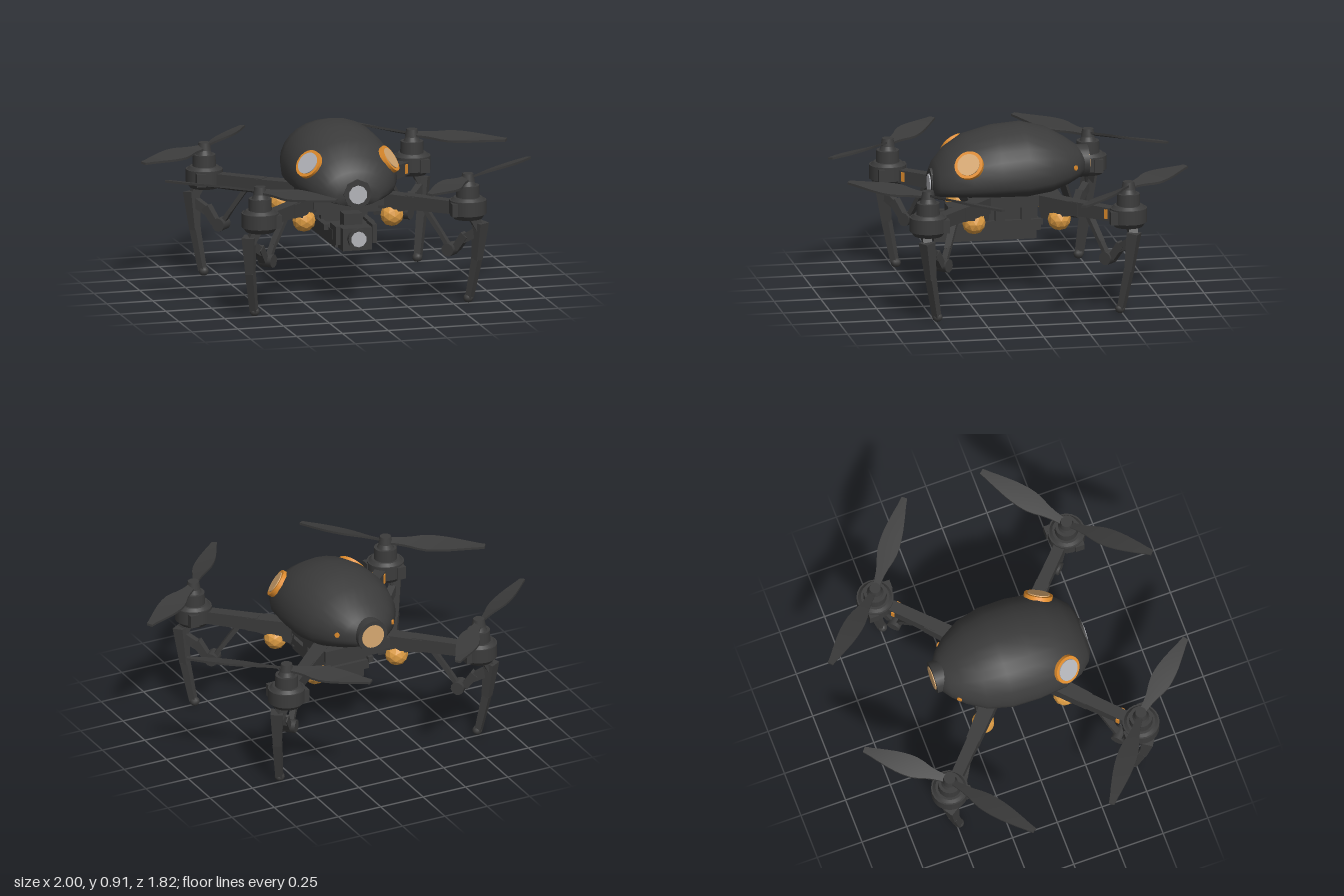
import * as THREE from 'three';

const mat = (name, color, extra = {}) => Object.assign(new THREE.MeshStandardMaterial({ color, ...extra }), { name });

// Body stations, front to back: z, half width, top y, middle y, bottom y
const STATIONS = [
  [0.415, 0.12, 0.66, 0.6, 0.54], [0.39, 0.17, 0.72, 0.61, 0.545], [0.33, 0.225, 0.79, 0.62, 0.545],
  [0.23, 0.268, 0.855, 0.635, 0.545], [0.08, 0.285, 0.895, 0.65, 0.54], [-0.07, 0.282, 0.907, 0.66, 0.535],
  [-0.2, 0.25, 0.875, 0.67, 0.55], [-0.3, 0.19, 0.818, 0.68, 0.58], [-0.36, 0.135, 0.775, 0.685, 0.605],
  [-0.4, 0.08, 0.74, 0.685, 0.63],
];

function bodyPoint(z, a) {
  let i = 0;
  while (i < STATIONS.length - 2 && z < STATIONS[i + 1][0]) i++;
  const A = STATIONS[i], B = STATIONS[i + 1], t = (z - A[0]) / (B[0] - A[0]);
  const [hw, top, mid, bot] = [1, 2, 3, 4].map((k) => A[k] + (B[k] - A[k]) * t);
  const c = Math.cos(a), s = Math.sin(a);
  if (s >= 0) return new THREE.Vector3(hw * c, mid + (top - mid) * s, z);
  return new THREE.Vector3(hw * Math.sign(c) * Math.abs(c) ** 0.75, mid - (mid - bot) * (-s) ** 0.75, z);
}

function bodyNormal(z, a) {
  const du = bodyPoint(z, a + 0.05).sub(bodyPoint(z, a - 0.05));
  const dz = bodyPoint(z + 0.04, a).sub(bodyPoint(z - 0.04, a));
  return du.cross(dz).normalize();
}

function bodyGeometry(n = 28) {
  const pos = [], idx = [], rows = STATIONS.length;
  for (const st of STATIONS) {
    for (let j = 0; j < n; j++) pos.push(...bodyPoint(st[0], (j / n) * Math.PI * 2).toArray());
  }
  for (let i = 0; i < rows - 1; i++) {
    for (let j = 0; j < n; j++) {
      const a = i * n + j, b = i * n + ((j + 1) % n);
      idx.push(a, a + n, b, b, a + n, b + n);
    }
  }
  // End caps
  for (const [row, front] of [[0, true], [rows - 1, false]]) {
    const c = pos.length / 3, st = STATIONS[row];
    pos.push(0, st[3], st[0]);
    for (let j = 0; j < n; j++) {
      const a = row * n + j, b = row * n + ((j + 1) % n);
      idx.push(c, ...(front ? [a, b] : [b, a]));
    }
  }
  const g = new THREE.BufferGeometry();
  g.setAttribute('position', new THREE.Float32BufferAttribute(pos, 3));
  g.setIndex(idx);
  g.computeVertexNormals();
  return g;
}

// Thin twisted blade along +x
function bladeGeometry(length, twist) {
  const g = new THREE.BoxGeometry(1, 1, 1, 12, 1, 2), p = g.attributes.position;
  const width = new THREE.SplineCurve([[0, 0.035], [0.2, 0.055], [0.4, 0.108], [0.55, 0.105], [0.8, 0.07], [1, 0.03]]
    .map((q) => new THREE.Vector2(...q)));
  for (let i = 0; i < p.count; i++) {
    const t = p.getX(i) + 0.5, w = width.getPoint(t).y, side = p.getZ(i) * w;
    const tilt = twist * (0.42 - 0.3 * t);
    const y = p.getY(i) * 0.012 + 0.012 * t;
    p.setXYZ(i, t * length, y + side * Math.sin(tilt), side * Math.cos(tilt));
  }
  g.computeVertexNormals();
  return g;
}

export function createModel() {
  const root = new THREE.Group();
  root.name = 'drone';
  const dark = mat('charcoal', 0x3b3b3b);
  const amber = mat('amber', 0xdb9a42, { flatShading: true });
  const orange = mat('orange', 0xe08c2c);
  const tan = mat('tan lens', 0xd6a871);
  const glass = mat('grey glass', 0xb2b3b8);

  const add = (name, geo, m, pos = [0, 0, 0], parent = root) => {
    const mesh = new THREE.Mesh(geo, m);
    mesh.name = name;
    mesh.position.set(...pos);
    parent.add(mesh);
    return mesh;
  };
  const box = (name, w, h, d, pos, parent, m = dark) => add(name, new THREE.BoxGeometry(w, h, d), m, pos, parent);
  const cyl = (name, r1, r2, h, pos, parent, m = dark, n = 20) =>
    add(name, new THREE.CylinderGeometry(r1, r2, h, n), m, pos, parent);
  // Bar from a to b, its far end scaled by taper
  const beam = (name, a, b, w, h, taper, parent, m = dark) => {
    const va = new THREE.Vector3(...a), vb = new THREE.Vector3(...b);
    const g = new THREE.BoxGeometry(w, h, va.distanceTo(vb)), p = g.attributes.position;
    for (let i = 0; i < p.count; i++) {
      if (p.getZ(i) > 0) p.setXY(i, p.getX(i) * taper, p.getY(i) * taper);
    }
    const mesh = add(name, g, m, va.clone().add(vb).multiplyScalar(0.5).toArray(), parent);
    mesh.lookAt(vb);
    return mesh;
  };
  // Disc facing along a direction
  const disc = (name, r, h, pos, dir, m, n = 24) => {
    const mesh = cyl(name, r, r, h, pos, root, m, n);
    mesh.quaternion.setFromUnitVectors(new THREE.Vector3(0, 1, 0), dir);
    return mesh;
  };

  // Egg shaped shell with nose and tail lenses
  add('bodyShell', bodyGeometry(), dark);
  const front = new THREE.Vector3(0, 0, 1), back = new THREE.Vector3(0, 0, -1);
  disc('noseRim', 0.078, 0.04, [0, 0.605, 0.4], front, dark, 8);
  disc('noseLens', 0.05, 0.008, [0, 0.602, 0.423], front, glass, 10);
  disc('tailRim', 0.086, 0.06, [0, 0.685, -0.393], back, dark);
  disc('tailLens', 0.064, 0.006, [0, 0.685, -0.425], back, tan);

  // Side eyes and small rear side lights
  for (const s of [1, -1]) {
    const at = (z, a, out) => {
      const n = bodyNormal(z, a), p = bodyPoint(z, a).addScaledVector(n, out);
      n.x *= s; p.x *= s;
      return [p.toArray(), n];
    };
    const [rp, n] = at(0.25, 0.56, -0.004);
    disc('eyeRim', 0.077, 0.026, rp, n, orange);
    disc('eyeLens', 0.06, 0.006, at(0.25, 0.56, 0.011)[0], n, s > 0 ? tan : glass);
    const [lp, ln] = at(-0.33, 0.05, 0);
    disc('rearSideLight', 0.014, 0.012, lp, ln, orange, 8);
  }

  // Chassis and battery under the shell
  box('chassisPlate', 0.38, 0.06, 0.5, [0, 0.525, 0]);
  box('chassisCore', 0.24, 0.13, 0.27, [0, 0.45, 0]);
  box('batteryTray', 0.23, 0.05, 0.49, [0, 0.375, 0.09]);
  box('batteryPack', 0.19, 0.05, 0.45, [0, 0.325, 0.09]);
  for (const s of [1, -1]) {
    box('sideRail', 0.03, 0.03, 0.42, [s * 0.125, 0.4, 0.05]);
    box('sideClip', 0.03, 0.08, 0.05, [s * 0.13, 0.455, 0.07]);
    box('sideClip', 0.03, 0.08, 0.05, [s * 0.13, 0.455, -0.07]);
    box('cameraBracket', 0.025, 0.1, 0.11, [s * 0.1, 0.38, 0.335]);
  }
  box('frontCrossbar', 0.42, 0.035, 0.05, [0, 0.475, 0.19]);
  box('rearCrossbar', 0.42, 0.035, 0.05, [0, 0.475, -0.19]);

  // Hanging camera
  box('cameraBody', 0.16, 0.12, 0.1, [0, 0.36, 0.36]);
  box('cameraMount', 0.1, 0.08, 0.08, [0, 0.44, 0.29]);
  disc('cameraBarrel', 0.056, 0.04, [0, 0.365, 0.415], front, dark, 12);
  disc('cameraLens', 0.042, 0.006, [0, 0.365, 0.437], front, glass, 10);

  // Four mirrored corners: arm, motor, propeller, leg and ball
  for (const sx of [1, -1]) for (const sz of [1, -1]) {
    const g = new THREE.Group();
    g.name = `${sz > 0 ? 'front' : 'rear'}${sx > 0 ? 'Left' : 'Right'}Corner`;
    root.add(g);
    const P = (x, y, z) => [x * sx, y, z * sz];

    beam('arm', P(0.31, 0.518, 0.285), P(0.55, 0.518, 0.515), 0.066, 0.075, 0.9, g);
    beam('armShoulder', P(0.17, 0.515, 0.16), P(0.35, 0.515, 0.325), 0.085, 0.085, 0.85, g);
    beam('armRoot', P(0.17, 0.455, 0.16), P(0.31, 0.495, 0.285), 0.06, 0.05, 0.9, g);
    add('ball', new THREE.IcosahedronGeometry(0.062, 1), amber, P(0.24, 0.438, 0.228), g);
    if (sx * sz < 0) beam('armLight', P(0.476, 0.52, 0.444), P(0.49, 0.52, 0.457), 0.073, 0.05, 1, g, orange);

    const M = (y) => P(0.567, y, 0.535);
    cyl('motorHousing', 0.098, 0.098, 0.075, M(0.53), g);
    cyl('motorBase', 0.094, 0.075, 0.025, M(0.48), g);
    cyl('motorRing', 0.075, 0.09, 0.015, M(0.575), g);
    cyl('motorBell', 0.06, 0.062, 0.065, M(0.612), g);
    cyl('motorShaft', 0.03, 0.045, 0.03, M(0.658), g);
    cyl('propellerHub', 0.03, 0.038, 0.04, M(0.688), g, dark, 12);
    box('motorLug', 0.05, 0.07, 0.05, P(0.49, 0.525, 0.575), g);
    box('motorLug', 0.05, 0.07, 0.05, P(0.61, 0.525, 0.455), g);
    for (const [tx, tz, turn] of [[0.99, 0.215, 1], [0.255, 0.9, 1]]) {
      const dx = (tx - 0.567) * sx, dz = (tz - 0.535) * sz;
      const blade = add('propellerBlade', bladeGeometry(Math.hypot(dx, dz), turn * sx * sz), dark, M(0.681), g);
      blade.rotation.y = -Math.atan2(dz, dx);
    }

    // Leg with foot
    beam('legMount', P(0.59, 0.48, 0.55), P(0.625, 0.41, 0.55), 0.05, 0.05, 0.9, g);
    beam('legUpper', P(0.632, 0.445, 0.553), P(0.618, 0.24, 0.53), 0.066, 0.06, 0.68, g);
    beam('legLower', P(0.618, 0.245, 0.53), P(0.588, 0.03, 0.493), 0.045, 0.041, 0.8, g);
    const foot = add('foot', new THREE.IcosahedronGeometry(0.027, 1), dark, P(0.583, 0.026, 0.488), g);
    foot.scale.y = 0.95;

    // Folding linkage between leg and arm
    beam('legLink', P(0.615, 0.39, 0.54), P(0.555, 0.345, 0.49), 0.04, 0.05, 0.9, g);
    beam('legLink', P(0.565, 0.37, 0.5), P(0.525, 0.29, 0.46), 0.045, 0.045, 0.9, g);
    const joint = cyl('linkJoint', 0.036, 0.036, 0.075, P(0.5, 0.285, 0.442), g, dark, 10);
    joint.quaternion.setFromUnitVectors(new THREE.Vector3(0, 1, 0), new THREE.Vector3(sx, 0, -sz).normalize());
    beam('strut', P(0.495, 0.29, 0.438), P(0.455, 0.37, 0.405), 0.035, 0.024, 0.9, g);
    beam('strut', P(0.46, 0.36, 0.41), P(0.385, 0.49, 0.36), 0.035, 0.022, 1.1, g);
  }
  return root;
}
